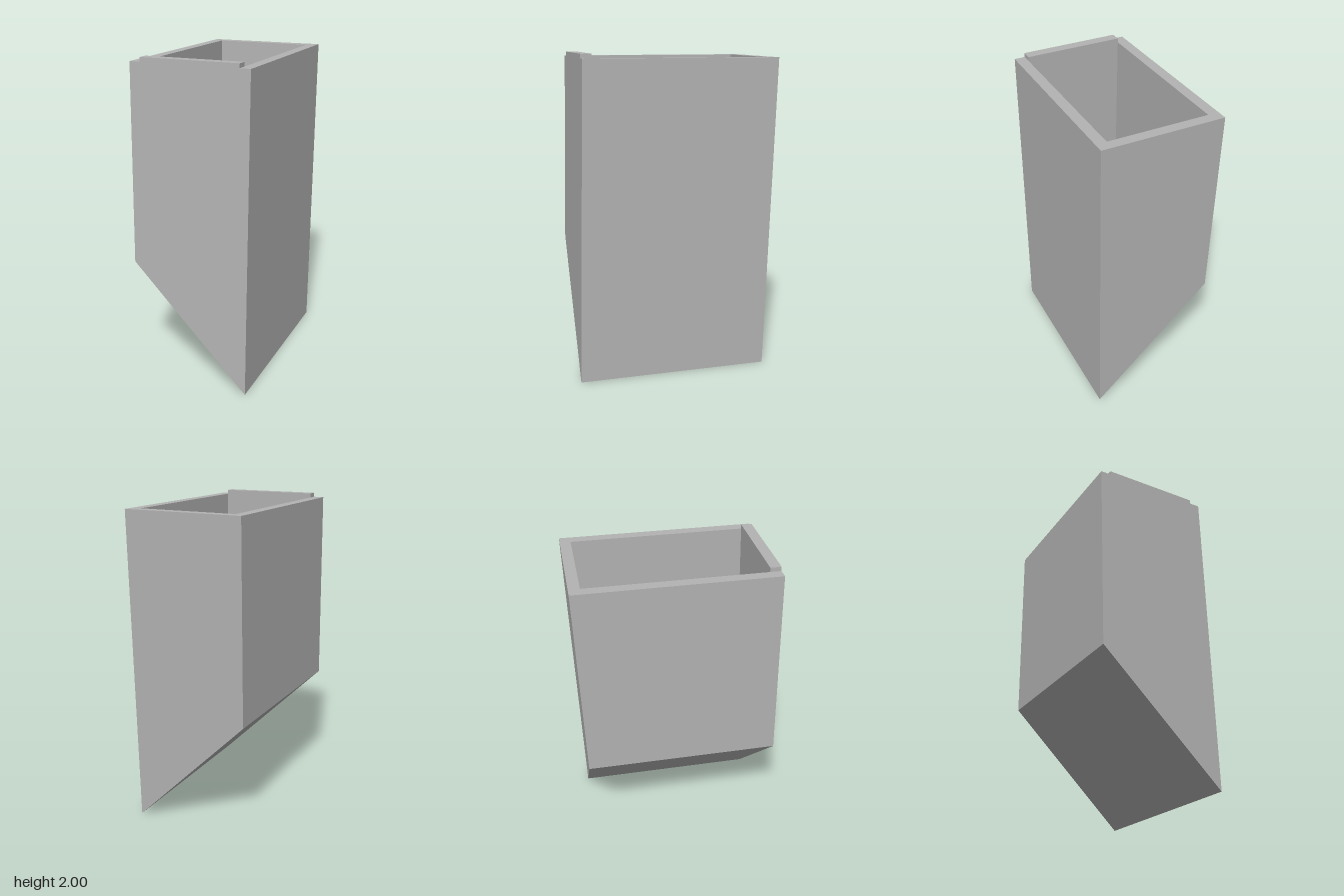
import * as THREE from 'three';

const W = 0.374, D = 0.599, WALL = 0.066;  // half width, half depth, wall thickness
const FLOOR = 0.748, RIM = 1.974, TOP = 2;

// Lean the upright geometry backwards by sliding z with height
function lean(geometry) {
  const p = geometry.attributes.position;
  for (let i = 0; i < p.count; i++) p.setZ(i, p.getZ(i) + 0.026 - 0.0265 * p.getY(i));
  geometry.computeVertexNormals();
  return geometry;
}

function rectangle(path, w, d) {
  path.moveTo(-w, -d);
  path.lineTo(w, -d);
  path.lineTo(w, d);
  path.lineTo(-w, d);
  path.closePath();
  return path;
}

export function createModel() {
  const group = new THREE.Group();
  const grey = new THREE.MeshStandardMaterial({ color: 0xb3b3b3 });
  grey.name = 'grey';

  const add = (name, geometry) => {
    const mesh = new THREE.Mesh(lean(geometry), grey);
    mesh.name = name;
    group.add(mesh);
  };

  // Four walls around the open compartment
  const outline = rectangle(new THREE.Shape(), W, D);
  outline.holes.push(rectangle(new THREE.Path(), W - WALL, D - WALL));
  const walls = new THREE.ExtrudeGeometry(outline, { depth: RIM - FLOOR, bevelEnabled: false });
  walls.rotateX(-Math.PI / 2).translate(0, FLOOR, 0);
  add('walls', walls);

  // Solid wedge below, its top forming the compartment floor
  const side = new THREE.Shape([
    new THREE.Vector2(-W, FLOOR),
    new THREE.Vector2(W, 0),
    new THREE.Vector2(W, FLOOR),
  ]);
  const wedge = new THREE.ExtrudeGeometry(side, { depth: 2 * D, bevelEnabled: false });
  wedge.translate(0, 0, -D);
  add('wedgeBase', wedge);

  // Raised lip on the front rim
  const lip = new THREE.BoxGeometry(2 * (W - WALL), TOP - RIM, WALL);
  lip.translate(0, (TOP + RIM) / 2, D - WALL / 2);
  add('frontLip', lip);

  return group;
}
